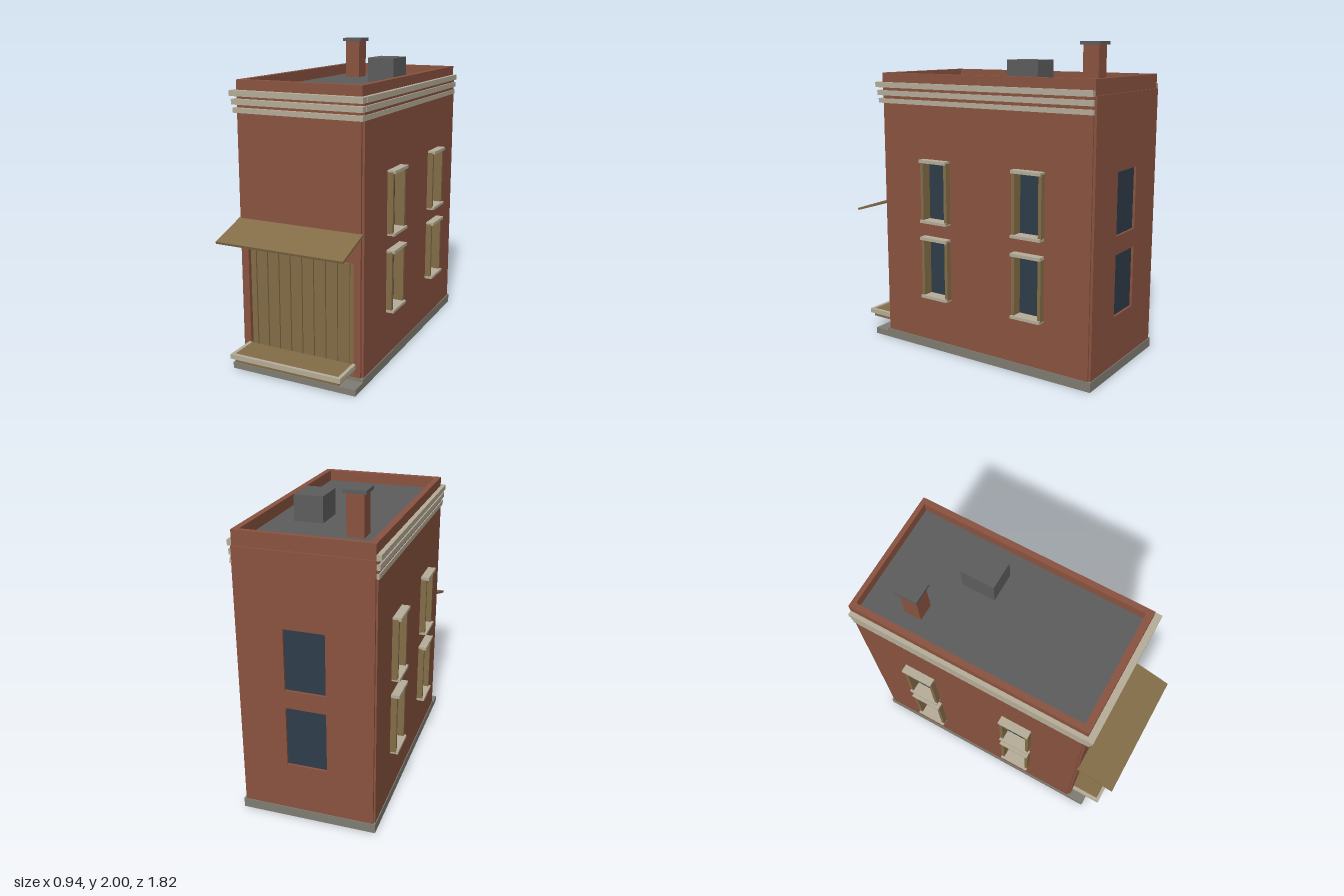
import * as THREE from 'three';

const mat = (name, color) => {
  const m = new THREE.MeshStandardMaterial({ color });
  m.name = name;
  return m;
};

export function createModel() {
  const brick = mat('brick', 0x8a5340);
  const wood = mat('wood', 0x836d47);
  const stone = mat('pale stone', 0xb6ad99);
  const glass = mat('dark glass', 0x2e3c49);
  const roofGrey = mat('roof grey', 0x5d5d5d);
  const baseGrey = mat('base grey', 0x7f7d72);

  const model = new THREE.Group();
  model.name = 'townhouse';

  const add = (name, geometry, material) => {
    const mesh = new THREE.Mesh(geometry, material);
    mesh.name = name;
    model.add(mesh);
    return mesh;
  };
  // Box given by its limits on each axis
  const box = (name, material, x0, x1, y0, y1, z0, z1) => {
    const mesh = add(name, new THREE.BoxGeometry(x1 - x0, y1 - y0, z1 - z0), material);
    mesh.position.set((x0 + x1) / 2, (y0 + y1) / 2, (z0 + z1) / 2);
    return mesh;
  };
  const rect = (Type, x0, x1, y0, y1) => {
    const p = new Type();
    p.moveTo(x0, y0);
    p.lineTo(x1, y0);
    p.lineTo(x1, y1);
    p.lineTo(x0, y1);
    p.closePath();
    return p;
  };
  // Rectangular slab with rectangular holes
  const slab = (outer, holes, depth) => {
    const shape = rect(THREE.Shape, ...outer);
    holes.forEach((h) => shape.holes.push(rect(THREE.Path, ...h)));
    return new THREE.ExtrudeGeometry(shape, { depth, bevelEnabled: false });
  };

  const floors = [[0.37, 0.755], [0.87, 1.255]];
  const windowZ = [0.21, -0.48];

  // Base, front step and inner core
  box('base', baseGrey, -0.425, 0.425, 0, 0.06, -0.905, 0.66);
  box('frontStep', baseGrey, -0.425, 0.425, 0, 0.04, 0.66, 0.765);
  box('core', brick, -0.385, 0.385, 0.05, 1.72, -0.87, 0.62);

  // Side walls with window openings
  const sideHoles = [];
  for (const z of windowZ) for (const [y0, y1] of floors) sideHoles.push([z - 0.1, z + 0.1, y0, y1]);
  for (const side of [1, -1]) {
    const geo = slab([-0.885, 0.64, 0.06, 1.72], sideHoles, 0.03).rotateY(-Math.PI / 2);
    add('sideWall', geo, brick).position.x = side > 0 ? 0.42 : -0.39;
  }

  // Side windows: glass, jambs, sill and lintel
  const sideBox = (name, material, s, a, b, ...rest) =>
    box(name, material, Math.min(s * a, s * b), Math.max(s * a, s * b), ...rest);
  for (const s of [1, -1]) for (const z of windowZ) for (const [y0, y1] of floors) {
    sideBox('sideGlass', glass, s, 0.384, 0.392, y0, y1, z - 0.1, z + 0.1);
    for (const e of [-1, 1]) {
      const c = z + e * 0.0925;
      sideBox('windowJamb', wood, s, 0.39, 0.458, y0, y1, c - 0.0105, c + 0.0105);
    }
    sideBox('windowSill', stone, s, 0.39, 0.472, y0 - 0.01, y0 + 0.008, z - 0.103, z + 0.103);
    sideBox('windowLintel', stone, s, 0.39, 0.472, y1 - 0.008, y1 + 0.012, z - 0.103, z + 0.103);
  }

  // Back wall with two recessed windows
  add('backWall', slab([-0.41, 0.41, 0.06, 1.71], floors.map((f) => [-0.125, 0.125, ...f]), 0.03), brick)
    .position.z = -0.9;
  for (const [y0, y1] of floors) box('backGlass', glass, -0.125, 0.125, y0, y1, -0.885, -0.878);
  for (const [y0, y1] of floors) box('backGlassBacking', glass, -0.125, 0.125, y0, y1, -0.879, -0.872);

  // Front wall with shopfront opening
  add('frontWall', slab([-0.405, 0.405, 0.06, 1.72], [[-0.36, 0.36, 0.07, 0.85]], 0.037), brick)
    .position.z = 0.618;
  box('shopHeader', brick, -0.36, 0.36, 0.77, 0.85, 0.615, 0.645);
  box('shopPanel', wood, -0.352, 0.352, 0.07, 0.77, 0.615, 0.638);
  for (let i = 0; i < 9; i++) {
    const x = -0.328 + i * 0.08;
    box('shopBoard', wood, x - 0.018, x + 0.018, 0.06, 0.768, 0.63, 0.65);
  }

  // Sloping awning
  const awning = box('awning', wood, -0.418, 0.418, -0.0075, 0.0075, -0.137, 0.137);
  awning.position.set(0, 0.909, 0.779);
  awning.rotation.x = 0.316;

  // Shop bench: wooden seat in a pale rim
  box('benchSeat', wood, -0.355, 0.355, 0.09, 0.14, 0.65, 0.845);
  box('benchRimFront', stone, -0.375, 0.375, 0.116, 0.146, 0.843, 0.865);
  for (const s of [1, -1]) sideBox('benchRimSide', stone, s, 0.353, 0.375, 0.116, 0.146, 0.65, 0.845);

  // Parapet ring and roof
  const parapet = slab([-0.41, 0.41, -0.655, 0.89], [[-0.372, 0.372, -0.612, 0.86]], 0.12);
  add('parapet', parapet.rotateX(-Math.PI / 2), brick).position.y = 1.68;
  box('roof', roofGrey, -0.375, 0.375, 1.715, 1.73, -0.862, 0.615);

  // Stepped cornice around the front and sides
  const bands = [[1.606, 1.636, 0], [1.655, 1.688, 0.007], [1.706, 1.74, 0.017]];
  for (const [y0, y1, out] of bands) {
    box('corniceFront', stone, -0.425 - out * 0.6, 0.425 + out * 0.6, y0, y1, 0.635, 0.68 + out);
    for (const s of [1, -1]) sideBox('corniceSide', stone, s, 0.4, 0.427 + out * 0.6, y0, y1, -0.887, 0.64);
  }

  // Chimney and roof hatch
  box('chimney', brick, -0.26, -0.155, 1.72, 1.98, -0.615, -0.505);
  box('chimneyCap', roofGrey, -0.275, -0.14, 1.978, 2, -0.63, -0.49);
  box('roofHatch', roofGrey, 0.053, 0.235, 1.72, 1.89, -0.415, -0.197);

  return model;
}
